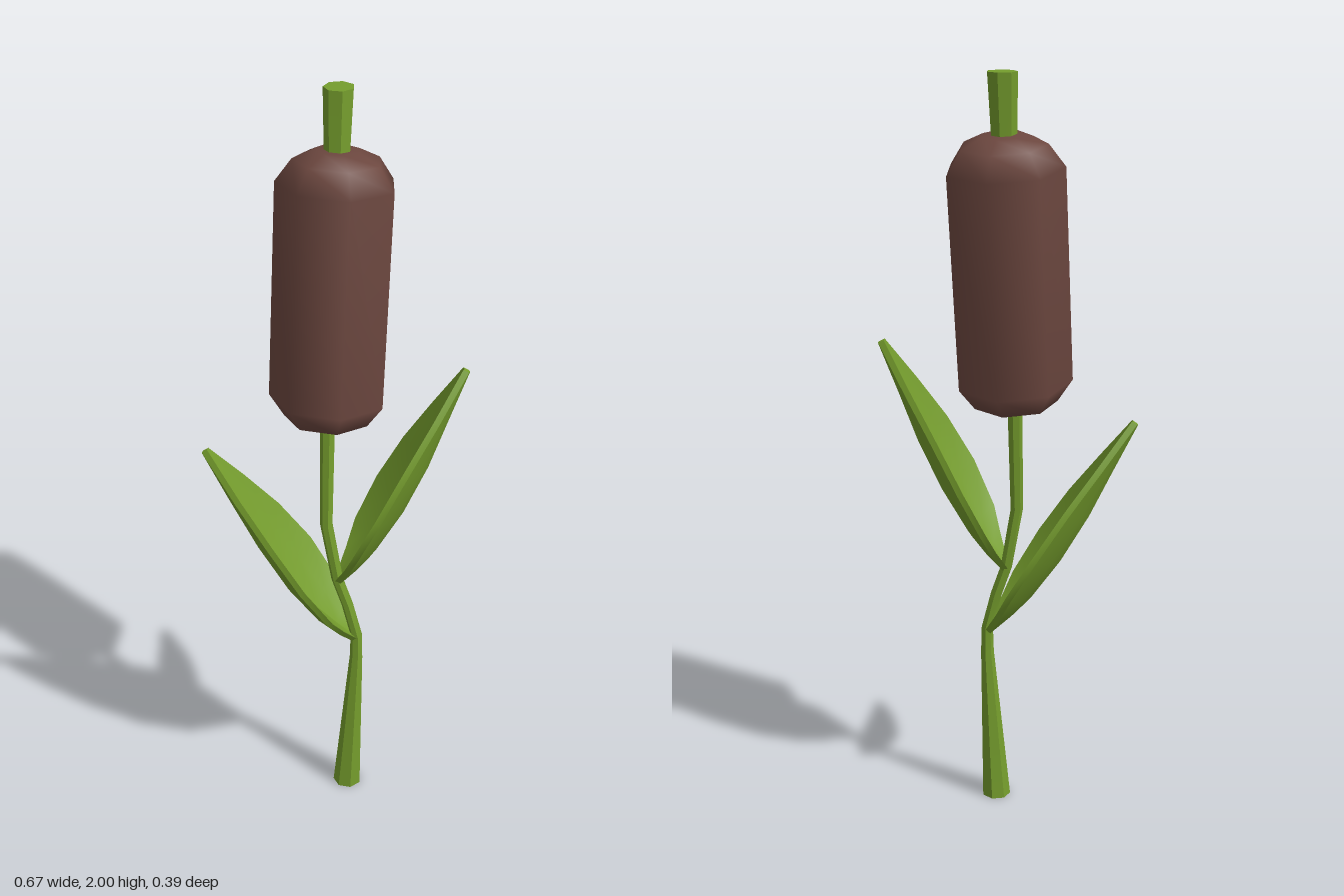
import * as THREE from 'three';
import { toCreasedNormals } from 'three/addons/utils/BufferGeometryUtils.js';

const V = (x, y, z) => new THREE.Vector3(x, y, z);

// Skin a list of equal-sized closed rings and cap both ends
function loft(rings) {
  const n = rings[0].length, last = rings.length - 1;
  const points = rings.flat(), index = [];
  const centre = ring => ring.reduce((s, p) => s.add(p), V(0, 0, 0)).divideScalar(n);
  const c0 = points.push(centre(rings[0])) - 1;
  const c1 = points.push(centre(rings[last])) - 1;
  for (let j = 0; j < n; j++) {
    const k = (j + 1) % n;
    for (let i = 0; i < last; i++) {
      const a = i * n + j, b = i * n + k, c = a + n, d = b + n;
      index.push(a, c, b, b, c, d);
    }
    index.push(c0, j, k, c1, last * n + k, last * n + j);
  }
  const geo = new THREE.BufferGeometry().setFromPoints(points);
  geo.setIndex(index);
  return geo;
}

// Seven-sided stalk: x, y, z, radius at each joint
function stemGeometry() {
  const joints = [
    [0.037, 0, 0.06, 0.039], [0.06, 0.44, 0.055, 0.018], [0.06, 0.51, 0.054, 0.016],
    [0.035, 0.61, 0.052, 0.016], [0.008, 0.69, 0.05, 0.016], [-0.021, 0.86, 0.045, 0.017],
    [-0.019, 1.16, 0.014, 0.02], [0, 1.8, -0.048, 0.031], [0.003, 2, -0.067, 0.038],
  ];
  return toCreasedNormals(loft(joints.map(([x, y, z, r]) =>
    Array.from({ length: 7 }, (_, j) => {
      const a = 0.39 + j / 7 * Math.PI * 2;
      return V(x + r * Math.cos(a), y, z + r * Math.sin(a));
    }))), 0.5);
}

// Cupped leaf with a thin rim, growing from base to tip
function leafGeometry(base, tip) {
  const dir = tip.clone().sub(base).normalize();
  const under = V(Math.sign(dir.x) * dir.y, -Math.abs(dir.x), 0).normalize();
  const side = under.clone().cross(dir).normalize();
  // position along the leaf, half width, midrib sag, rim height
  const stations = [
    [0, 0.012, 0.008, 0.006], [0.1, 0.06, 0.028, 0], [0.2, 0.104, 0.042, -0.01],
    [0.39, 0.125, 0.05, -0.015], [0.6, 0.104, 0.043, -0.013],
    [0.8, 0.062, 0.025, -0.004], [1, 0.008, 0.008, 0.005],
  ];
  const section = [[0, 0], [0.55, 0], [1, 0], [1, 1], [0.55, 1], [0, 1],
    [-0.55, 1], [-1, 1], [-1, 0], [-0.55, 0]];
  const rings = stations.map(([t, w, sag, rim]) => section.map(([u, top]) => {
    const depth = THREE.MathUtils.lerp(sag, rim, Math.abs(u) ** 1.6) - top * 0.016;
    const p = base.clone().lerp(tip, t).addScaledVector(side, u * w).addScaledVector(under, depth);
    p.z += 0.009 * Math.sin(t * Math.PI);
    return p;
  }));
  return toCreasedNormals(loft(rings), 0.6);
}

export function createModel() {
  const green = new THREE.MeshStandardMaterial({ color: 0x759d2d });
  green.name = 'leaf green';
  const brown = new THREE.MeshStandardMaterial({ color: 0x6c473f });
  brown.name = 'seed brown';

  const model = new THREE.Group();
  model.name = 'cattail';
  const add = (name, geometry, material) => {
    const mesh = new THREE.Mesh(geometry, material);
    mesh.name = name;
    model.add(mesh);
    return mesh;
  };

  add('stem', stemGeometry(), green);
  add('leftLeaf', leafGeometry(V(0.01, 0.685, 0.05), V(0.327, 1.312, 0.015)), green);
  add('rightLeaf', leafGeometry(V(0.055, 0.5, 0.052), V(-0.327, 1.095, 0.086)), green);

  // Rounded seven-sided seed head, tilted along the stalk
  const profile = [[0, -0.355], [0.055, -0.353], [0.11, -0.332], [0.15, -0.275],
    [0.15, 0.275], [0.11, 0.332], [0.055, 0.357], [0, 0.359]];
  const head = add('seedHead', new THREE.LatheGeometry(
    profile.map(p => new THREE.Vector2(...p)), 7, THREE.MathUtils.degToRad(67.5)), brown);
  const low = V(-0.018, 1.22, 0.007), high = V(0, 1.77, -0.049);
  head.position.copy(low).lerp(high, 0.5);
  head.quaternion.setFromUnitVectors(V(0, 1, 0), high.sub(low).normalize());

  return model;
}
